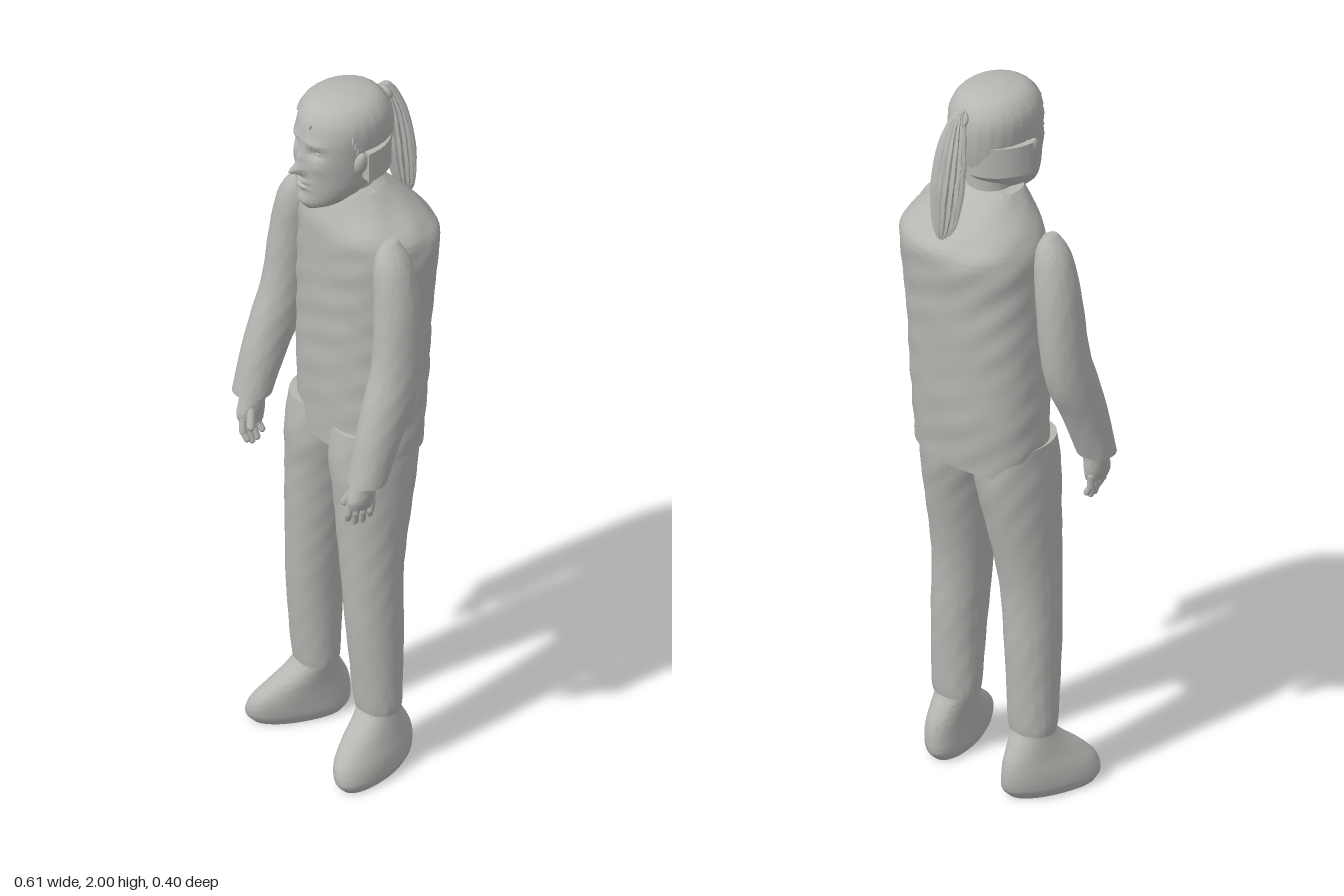
import * as THREE from 'three';
import { toCreasedNormals } from 'three/addons/utils/BufferGeometryUtils.js';

const grey = new THREE.MeshStandardMaterial({ color: 0xb8b6b3 });
grey.name = 'plain grey';

// smooth interpolation through rows of numbers
function sample(rows, t) {
  const i = Math.min(Math.floor(t), rows.length - 2), f = t - i;
  const at = k => rows[Math.max(0, Math.min(rows.length - 1, k))];
  return rows[i].map((b, c) => {
    const a = at(i - 1)[c], d = at(i + 1)[c], e = at(i + 2)[c];
    return b + 0.5 * f * (d - a + f * (2 * a - 5 * b + 4 * d - e + f * (3 * (b - d) + e - a)));
  });
}

// skin over horizontal rings, listed upwards: [y, centreX, centreZ, radiusX, radiusZ]
function loft(rows, { seg = 40, steps = 6, power = 2, warp = null } = {}) {
  const pos = [], idx = [], n = (rows.length - 1) * steps;
  const p = new THREE.Vector3();
  const round = v => Math.sign(v) * Math.abs(v) ** (2 / power);
  for (let i = 0; i <= n; i++) {
    const [y, cx, cz, rx, rz] = sample(rows, i / steps);
    for (let j = 0; j < seg; j++) {
      const a = j / seg * Math.PI * 2;
      p.set(cx + rx * round(Math.cos(a)), y, cz + rz * round(Math.sin(a)));
      if (warp) warp(p, a, cx, cz);
      pos.push(p.x, p.y, p.z);
    }
  }
  for (let i = 0; i < n; i++) for (let j = 0; j < seg; j++) {
    const a = i * seg + j, b = i * seg + (j + 1) % seg, c = a + seg, d = b + seg;
    idx.push(a, c, b, b, c, d);
  }
  // end caps
  const first = rows[0], last = rows[rows.length - 1], base = (n + 1) * seg;
  pos.push(first[1], first[0], first[2], last[1], last[0], last[2]);
  for (let j = 0; j < seg; j++) {
    const k = (j + 1) % seg;
    idx.push(base, j, k, base + 1, n * seg + k, n * seg + j);
  }
  const g = new THREE.BufferGeometry();
  g.setAttribute('position', new THREE.Float32BufferAttribute(pos, 3));
  g.setIndex(idx);
  return toCreasedNormals(g, 0.9);
}

// soft cloth creases
function cloth(amount) {
  return (p, a, cx, cz) => {
    const k = 1 + amount * (Math.sin(p.y * 43 + 2 * Math.sin(a * 3)) * Math.cos(a * 5 + p.y * 17)
      + 0.6 * Math.sin(p.y * 71 + a * 7));
    p.x = cx + (p.x - cx) * k;
    p.z = cz + (p.z - cz) * k;
  };
}

// face relief: [x, y, widthX, widthY, depth]
const relief = [
  [0, 1.806, 0.014, 0.014, 0.036], [0, 1.835, 0.011, 0.025, 0.014],
  [0.04, 1.862, 0.02, 0.012, -0.013], [0.042, 1.89, 0.03, 0.01, 0.006],
  [0, 1.77, 0.024, 0.006, 0.009], [0, 1.752, 0.02, 0.006, 0.009],
  [0, 1.761, 0.026, 0.0025, -0.005], [0, 1.71, 0.022, 0.014, 0.008],
  [0.052, 1.82, 0.018, 0.018, 0.004],
];
function face(p) {
  if (p.z < 0.05) return;
  const x = Math.abs(p.x - 0.005);
  for (const [fx, fy, sx, sy, d] of relief)
    p.z += d * Math.exp(-(((x - fx) / sx) ** 2) - ((p.y - fy) / sy) ** 2);
}

const headRows = [
  [1.68, 0.005, 0.11, 0.02, 0.035], [1.7, 0.005, 0.085, 0.055, 0.073], [1.74, 0.005, 0.06, 0.081, 0.1],
  [1.79, 0.005, 0.038, 0.094, 0.125], [1.85, 0.005, 0.034, 0.102, 0.13], [1.91, 0.005, 0.03, 0.107, 0.126],
  [1.95, 0.005, 0.03, 0.098, 0.112], [1.98, 0.005, 0.03, 0.072, 0.083], [1.994, 0.005, 0.028, 0.026, 0.03],
];

// hair shell sinks into the head below the hairline
function hairline(p, a, cx, cz) {
  const edge = 1.8 + 0.13 * THREE.MathUtils.smoothstep(p.z, 0.03, 0.1) + 0.008 * Math.sign(Math.sin(a * 7));
  const k = p.y < edge ? 0.88 : 1.035 + 0.006 * Math.sin(a * 24);
  p.x = cx + (p.x - cx) * k;
  p.z = cz + (p.z - cz) * k;
  if (p.y > 1.9) p.y += 0.006;
}

export function createModel() {
  const model = new THREE.Group();
  model.name = 'standing figure';
  const add = (name, geometry, parent = model) => {
    const m = new THREE.Mesh(geometry, grey);
    m.name = name;
    parent.add(m);
    return m;
  };

  // jacket body with square shoulders
  add('jacket', loft([
    [0.953, 0, -0.025, 0.192, 0.128], [1.1, 0, -0.03, 0.197, 0.138], [1.3, 0.005, -0.033, 0.198, 0.146],
    [1.45, 0.012, -0.036, 0.2, 0.152], [1.57, 0.018, -0.04, 0.2, 0.158], [1.62, 0.018, -0.028, 0.182, 0.142],
    [1.67, 0.01, -0.012, 0.135, 0.112], [1.718, 0.005, 0.008, 0.092, 0.073],
  ], { seg: 64, steps: 10, power: 2.3, warp: cloth(0.009) }));

  // neck and head
  add('neck', loft([[1.65, 0.005, 0.008, 0.065, 0.062], [1.72, 0.005, 0.01, 0.06, 0.062],
    [1.8, 0.005, 0.01, 0.06, 0.065]], { seg: 28 }));
  add('head', loft(headRows, { seg: 120, steps: 10, power: 2.1, warp: face }));
  add('hairCap', loft(headRows.slice(3), { seg: 96, steps: 10, power: 2.1, warp: hairline }));

  // swept side hair: half ring behind the ears
  const ring = new THREE.Shape();
  ring.absellipse(0, 0, 0.126, 0.132, 0, Math.PI, false, 0);
  ring.absellipse(0, 0, 0.096, 0.112, Math.PI, 0, true, 0);
  ring.closePath();
  const sideHair = add('sideHair', toCreasedNormals(
    new THREE.ExtrudeGeometry(ring, { depth: 0.085, bevelEnabled: false, curveSegments: 28 }), 0.6));
  sideHair.rotation.x = -Math.PI / 2;
  sideHair.position.set(0.005, 1.782, 0.04);

  // ponytail with ribbed strands and a tie
  add('ponytail', loft([
    [1.615, 0.005, -0.165, 0.012, 0.008], [1.66, 0.006, -0.155, 0.036, 0.024], [1.76, 0.006, -0.143, 0.046, 0.035],
    [1.87, 0.005, -0.128, 0.038, 0.031], [1.935, 0.004, -0.112, 0.022, 0.022], [1.965, 0.003, -0.1, 0.01, 0.012],
  ], { seg: 96, warp: (p, a, cx, cz) => {
    const k = 1 + 0.09 * Math.cos(a * 16 + p.y * 12);
    p.x = cx + (p.x - cx) * k;
    p.z = cz + (p.z - cz) * k;
  } }));
  const tie = add('hairTie', new THREE.TorusGeometry(0.018, 0.008, 10, 24));
  tie.position.set(0.004, 1.94, -0.1);
  tie.rotation.x = 0.5;

  for (const s of [-1, 1]) {
    const side = s < 0 ? 'right' : 'left';
    const rows = (list, shift = 0) => list.map(([y, x, z, rx, rz]) => [y, s * x + shift, z, rx, rz]);

    // ears and eyes
    const ear = add(side + 'Ear', new THREE.SphereGeometry(1, 16, 12));
    ear.scale.set(0.014, 0.034, 0.02);
    ear.position.set(0.005 + s * 0.108, 1.835, 0.052);
    ear.rotation.z = -s * 0.2;
    const eye = add(side + 'Eye', new THREE.SphereGeometry(1, 16, 12));
    eye.scale.set(0.014, 0.007, 0.01);
    eye.position.set(0.005 + s * 0.04, 1.862, 0.135);

    // sleeves
    add(side + 'Sleeve', loft(rows([
      [0.978, 0.252, 0.135, 0.052, 0.05], [1.1, 0.25, 0.096, 0.054, 0.063], [1.2, 0.246, 0.058, 0.056, 0.073],
      [1.3, 0.24, 0.034, 0.056, 0.068], [1.45, 0.228, 0.024, 0.056, 0.062], [1.55, 0.212, 0.024, 0.05, 0.054],
      [1.6, 0.203, 0.024, 0.036, 0.041], [1.632, 0.196, 0.024, 0.014, 0.022],
    ], s > 0 ? 0.005 : 0), { power: 2.1, warp: cloth(0.008) }));

    // hands with four fingers and a thumb
    const hand = new THREE.Group();
    hand.name = side + 'Hand';
    model.add(hand);
    add('palm', loft(rows([
      [0.895, 0.242, 0.145, 0.022, 0.034], [0.92, 0.245, 0.145, 0.027, 0.04],
      [0.955, 0.245, 0.14, 0.032, 0.035], [1.0, 0.247, 0.133, 0.036, 0.032],
    ]), { seg: 24 }), hand);
    const digit = (name, from, to, r) => {
      const a = new THREE.Vector3(s * from[0], from[1], from[2]);
      const d = new THREE.Vector3(s * to[0], to[1], to[2]).sub(a);
      const m = add(name, new THREE.CapsuleGeometry(r, d.length(), 5, 10), hand);
      m.position.copy(a).addScaledVector(d, 0.5);
      m.quaternion.setFromUnitVectors(new THREE.Vector3(0, 1, 0), d.normalize());
    };
    for (let i = 0; i < 4; i++) {
      const z = 0.116 + i * 0.019, x = 0.252 - i * 0.005;
      const drop = [0.858, 0.844, 0.843, 0.856][i];
      digit('finger', [x, 0.91, z], [x - 0.004, 0.876, z + 0.003], 0.0105);
      digit('fingertip', [x - 0.004, 0.876, z + 0.003], [x - 0.014, drop, z - 0.002], 0.009);
    }
    digit('thumb', [0.228, 0.945, 0.155], [0.208, 0.9, 0.17], 0.011);

    // trouser legs
    add(side + 'TrouserLeg', loft(rows([
      [0.175, 0.137, 0.01, 0.064, 0.054], [0.22, 0.137, 0.011, 0.068, 0.06], [0.4, 0.133, 0.016, 0.07, 0.074],
      [0.6, 0.122, 0.018, 0.077, 0.083], [0.8, 0.108, 0.003, 0.089, 0.107], [0.92, 0.097, -0.005, 0.097, 0.122],
      [1.02, 0.095, -0.012, 0.092, 0.118],
    ], -0.01), { seg: 48, steps: 8, power: 2.1, warp: cloth(0.008) }));

    // shoes, toes turned outward
    add(side + 'Shoe', loft(rows([
      [0, 0.165, 0.048, 0.05, 0.112], [0.025, 0.165, 0.047, 0.059, 0.132], [0.065, 0.162, 0.043, 0.059, 0.132],
      [0.105, 0.155, 0.03, 0.055, 0.112], [0.145, 0.147, 0.016, 0.053, 0.078], [0.18, 0.14, 0.01, 0.052, 0.053],
      [0.22, 0.138, 0.01, 0.05, 0.048],
    ], -0.01), { power: 2.2, warp: p => { p.x += s * 0.28 * (p.z - 0.04) * Math.max(0, 1 - p.y / 0.22); } }));
  }
  return model;
}
